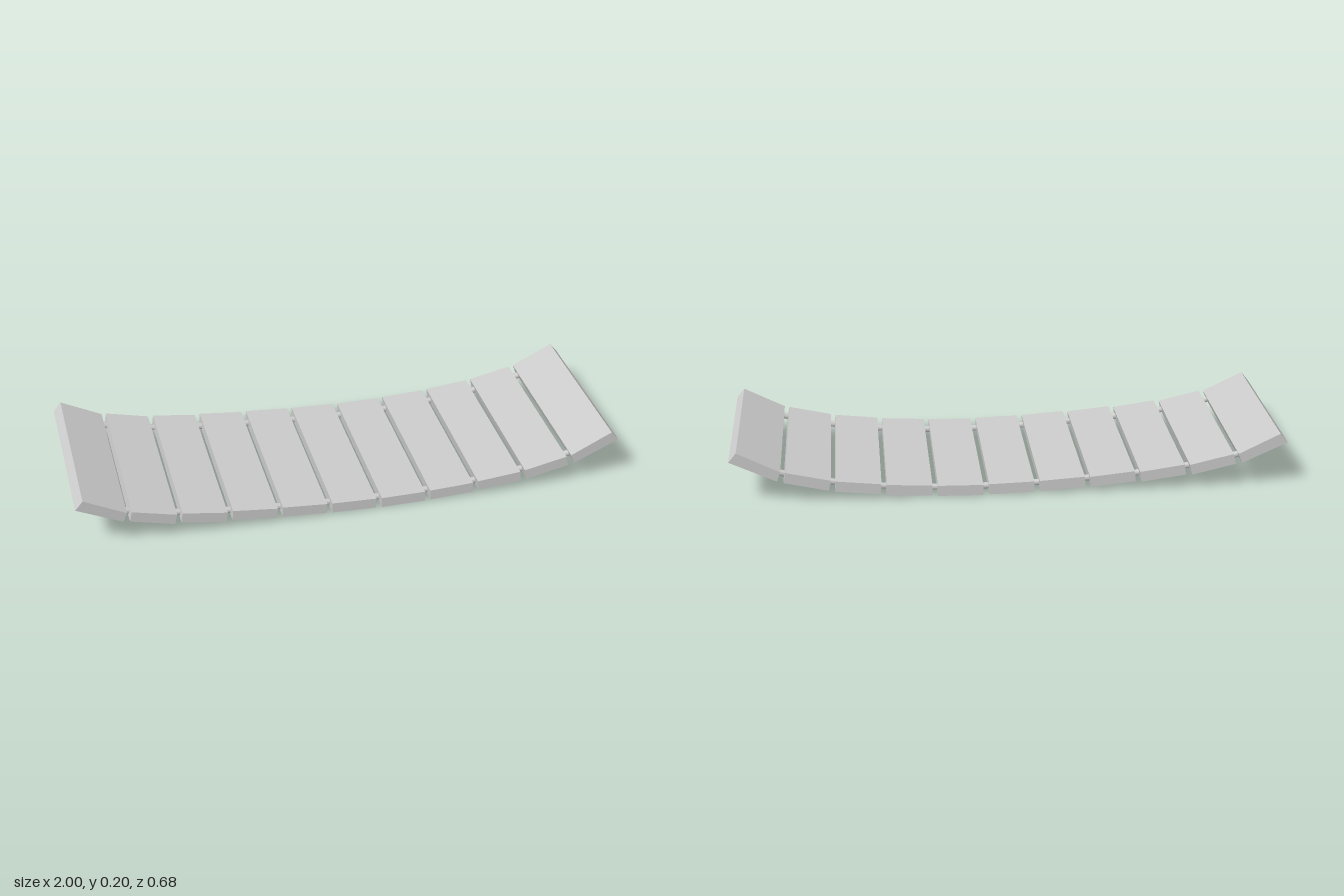
import * as THREE from 'three';

const material = new THREE.MeshStandardMaterial({ color: 0xcccccc, flatShading: true });
const ropeMaterial = new THREE.MeshStandardMaterial({ color: 0xcccccc });
const DEPTH = 0.676, THICK = 0.039, LENGTH = 0.163;

// Inner planks: x, y of the middle, tilt in degrees
const PLANKS = [
  [-0.73, 0.090, -13], [-0.549, 0.062, -8], [-0.367, 0.046, -5.6],
  [-0.185, 0.034, -3.8], [-0.002, 0.025, -1.7], [0.182, 0.022, 0.8],
  [0.365, 0.029, 3], [0.547, 0.045, 5.8], [0.727, 0.075, 12.5],
];

// End planks: side outline with a bevelled outer end
const ENDS = {
  rightEndPlank: [[-1, 0.166], [-0.836, 0.092], [-0.822, 0.127], [-0.972, 0.2]],
  leftEndPlank: [[0.833, 0.08], [1, 0.158], [0.972, 0.192], [0.82, 0.115]],
};

export function createModel() {
  const model = new THREE.Group();
  const add = (geometry, name, mat = material) => {
    const mesh = new THREE.Mesh(geometry, mat);
    mesh.name = name;
    model.add(mesh);
    return mesh;
  };

  // Walking planks
  const board = new THREE.BoxGeometry(LENGTH, THICK, DEPTH);
  PLANKS.forEach(([x, y, tilt], i) => {
    const plank = add(board, `plank${i + 1}`);
    plank.position.set(x, y, 0);
    plank.rotation.z = THREE.MathUtils.degToRad(tilt);
  });

  // Upturned end planks
  for (const [name, outline] of Object.entries(ENDS)) {
    const shape = new THREE.Shape(outline.map(([x, y]) => new THREE.Vector2(x, y)));
    const geometry = new THREE.ExtrudeGeometry(shape, { depth: DEPTH, bevelEnabled: false });
    add(geometry.translate(0, 0, -DEPTH / 2), name);
  }

  // Ropes threaded through all the planks
  for (const side of [-1, 1]) {
    const z = side * 0.29;
    const points = [
      [-0.9, 0.127], ...PLANKS.map(([x, y]) => [x, y - 0.004]), [0.9, 0.117],
    ].map(([x, y]) => new THREE.Vector3(x, y, z));
    const curve = new THREE.CatmullRomCurve3(points);
    add(new THREE.TubeGeometry(curve, 60, 0.012, 8), side > 0 ? 'frontRope' : 'backRope', ropeMaterial);
  }
  return model;
}
